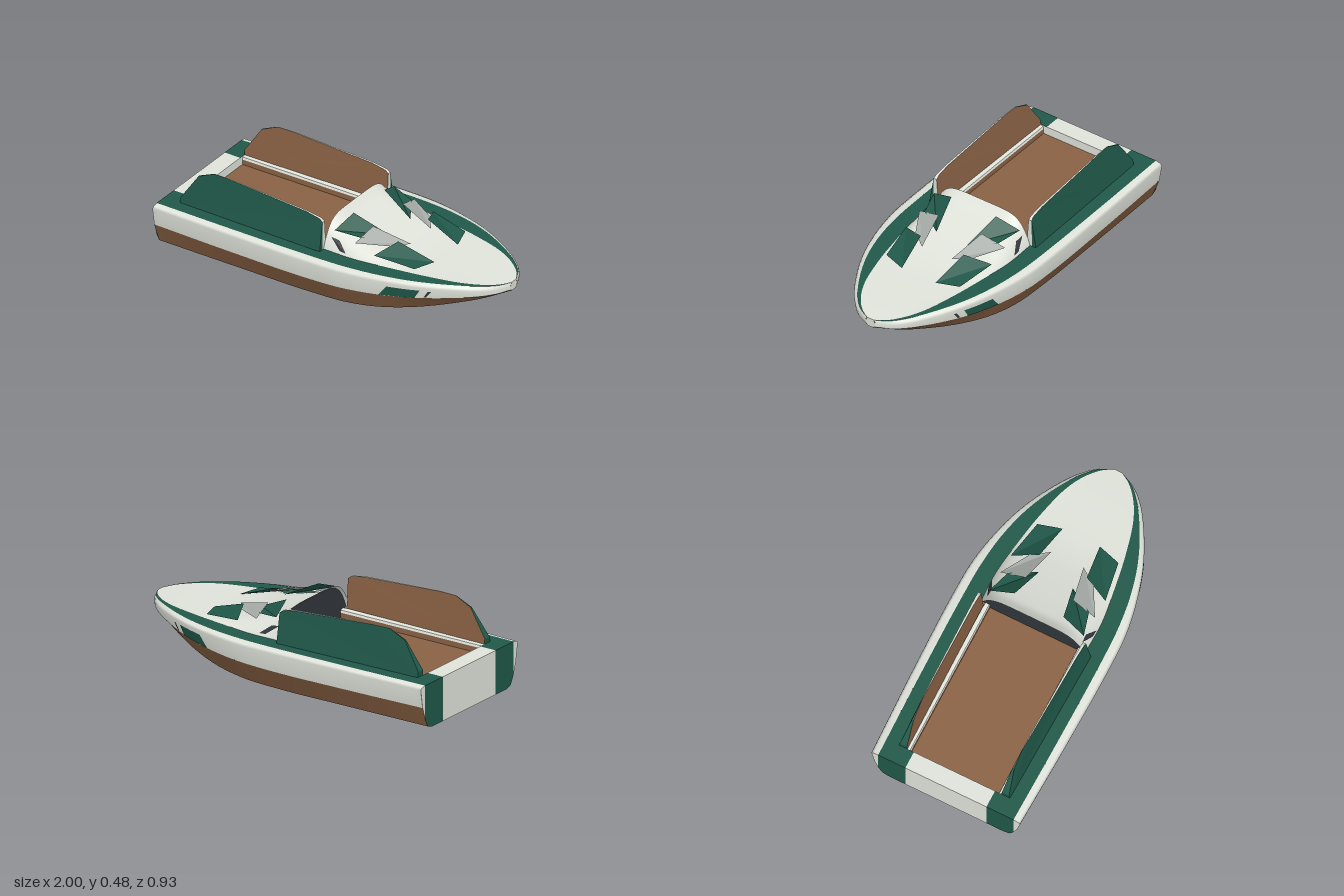
import * as THREE from 'three';

const material = (name, color) => {
  const m = new THREE.MeshStandardMaterial({ color, side: THREE.DoubleSide });
  m.name = name;
  return m;
};

// Smooth curve through [x, value] pairs
const curve = (...pairs) => {
  const c = new THREE.CubicInterpolant(pairs.map(p => p[0]), pairs.map(p => p[1]), 1, new Float32Array(1));
  return x => c.evaluate(x)[0];
};

// Hull lines: half widths and heights along the length (bow at +x)
const beam = curve([-1, .44], [-.5, .456], [0, .463], [.2, .455], [.4, .418], [.6, .354], [.8, .25], [.9, .178], [.97, .098], [1, .03]);
const chine = curve([-1, .375], [-.5, .38], [0, .38], [.2, .374], [.4, .342], [.6, .276], [.8, .182], [.9, .12], [1, .015]);
const keel = curve([-1, 0], [-.5, 0], [0, 0], [.2, .01], [.4, .034], [.6, .072], [.8, .123], [1, .18]);
const waterline = curve([-1, .13], [-.5, .13], [0, .132], [.4, .146], [.6, .16], [.8, .176], [1, .19]);
const rim = curve([-1, .235], [0, .237], [.5, .233], [.8, .222], [1, .21]);
const deck = curve([-1, .25], [0, .25], [.5, .251], [.8, .244], [1, .231]);
const bandOuter = curve([-1, .4], [-.5, .408], [0, .41], [.2, .404], [.4, .378], [.6, .322], [.8, .225], [.9, .156], [.97, .082], [1, .022]);
const bandInner = curve([0, .31], [.2, .312], [.4, .285], [.6, .249], [.8, .192], [.9, .136], [.97, .07], [1, .02]);
const cowlTop = curve([0, .165], [.05, .126], [.1, .106], [.2, .074], [.3, .045], [.4, .021], [.5, .006], [.6, 0], [1, 0]);
const waterWidth = x => beam(x) * .96;

export function createModel() {
  const model = new THREE.Group();
  model.name = 'speedboat';
  const white = material('white', 0xdfe3da);
  const green = material('green', 0x205849);
  const brown = material('brown', 0x8a6244);
  const grey = material('grey', 0xa9aeaa);
  const dark = material('charcoal', 0x30353a);

  const add = (name, geometry, mat) => {
    const mesh = new THREE.Mesh(geometry, mat);
    mesh.name = name;
    model.add(mesh);
  };

  // Skin over a row of cross-sections; section(x) returns a list of [x, y, z]
  const loft = (name, mat, x0, x1, steps, section) => {
    const pos = [], index = [];
    let n = 0;
    for (let i = 0; i <= steps; i++) {
      const row = section(x0 + (x1 - x0) * i / steps);
      n = row.length;
      row.forEach(p => pos.push(...p));
    }
    for (let i = 0; i < steps; i++) for (let j = 0; j < n - 1; j++) {
      const a = i * n + j, b = a + n;
      index.push(a, b, a + 1, b, b + 1, a + 1);
    }
    const g = new THREE.BufferGeometry();
    g.setAttribute('position', new THREE.Float32BufferAttribute(pos, 3));
    g.setIndex(index);
    g.computeVertexNormals();
    add(name, g, mat);
  };

  // Flat convex face from its corners
  const face = (name, mat, pts) => {
    const pos = [];
    for (let i = 1; i < pts.length - 1; i++) pos.push(...pts[0], ...pts[i], ...pts[i + 1]);
    const g = new THREE.BufferGeometry();
    g.setAttribute('position', new THREE.Float32BufferAttribute(pos, 3));
    g.computeVertexNormals();
    add(name, g, mat);
  };

  // Hull bottom
  loft('hullBottom', brown, -1, 1, 48, x => [-.9, 0, .9].map(t => [x, keel(x), t * chine(x)]));

  // Foredeck swelling into the cowl
  loft('foredeck', white, 0, 1, 60, x => {
    const row = [];
    for (let j = 0; j <= 40; j++) {
      const t = Math.sin((j / 20 - 1) * Math.PI / 2);
      row.push([x, deck(x) + cowlTop(x) * (1 - t ** 6), t * bandInner(x)]);
    }
    return row;
  });

  // Stern deck, cockpit floor and its rear wall
  face('sternDeck', white, [[-1, .25, -.24], [-1, .25, .24], [-.9, .25, .24], [-.9, .25, -.24]]);
  face('cockpitFloor', brown, [[-.9, .2, -.26], [-.9, .2, .26], [.02, .2, .26], [.02, .2, -.26]]);
  face('cockpitRearWall', white, [[-.9, .2, -.26], [-.9, .2, .26], [-.9, .25, .285], [-.9, .25, -.285]]);

  // Dark recess under the cowl
  const arch = [[.02, .2, -.26], [.02, .2, .26]];
  for (let j = 0; j <= 20; j++) {
    const t = Math.cos(j / 20 * Math.PI);
    arch.push([.02, .25 + cowlTop(.02) * (1 - t ** 6), t * .31]);
  }
  face('dashRecess', dark, arch);

  // Transom centre and stem
  face('transomCentre', white, [[-1, 0, -.24], [-1, 0, .24], [-1, .25, .24], [-1, .25, -.24]]);
  face('stem', white, [[1, .18, -.014], [1, .18, .014], [1, .19, .029], [1, .21, .03], [1, .231, .022],
    [1, .231, -.022], [1, .21, -.03], [1, .19, -.029]]);

  for (const s of [1, -1]) {
    const side = s > 0 ? 'left' : 'right';
    const m = pts => pts.map(([x, y, z]) => [x, y, z * s]);
    const strip = (name, mat, x0, x1, steps, section) => loft(side + name, mat, x0, x1, steps, x => m(section(x)));
    const plate = (name, mat, pts) => face(side + name, mat, m(pts));

    // Hull sides and rounded rim
    const chinePoint = x => [x, keel(x) + .012 * (1 - Math.max(x, 0)), chine(x)];
    strip('Chine', brown, -1, 1, 48, x => [[x, keel(x), chine(x) * .9], chinePoint(x)]);
    strip('LowerHull', brown, -1, 1, 48, x => [chinePoint(x), [x, waterline(x), waterWidth(x)]]);
    strip('Topside', white, -1, 1, 60, x => {
      const b = beam(x), o = bandOuter(x), r = rim(x), d = deck(x);
      return [[x, waterline(x), waterWidth(x)], [x, r, b], [x, r + (d - r) * .6, b + (o - b) * .3], [x, d, o]];
    });

    // Green deck band
    strip('SternBand', green, -1, -.9, 2, x => [[x, deck(x), bandOuter(x)], [x, deck(x), .24]]);
    strip('SideBand', green, -.9, 0, 12, x => [[x, deck(x), bandOuter(x)], [x, deck(x), .285]]);
    strip('BowBand', green, 0, 1, 60, x => [[x, deck(x), bandOuter(x)], [x, deck(x), bandInner(x)]]);

    // Cockpit ledge and wall
    strip('CockpitLedge', white, -.9, .02, 1, x => [[x, .25, .285], [x, .243, .264]]);
    strip('CockpitCoaming', white, -.9, .02, 1, x => [[x, .243, .264], [x, .23, .26]]);
    strip('CockpitWall', brown, -.9, .02, 1, x => [[x, .23, .26], [x, .2, .26]]);

    // Transom corners
    plate('TransomBand', green, [[-1, 0, .24], [-1, 0, .3375], [-1, .012, .375], [-1, .06, .4], [-1, .25, .4], [-1, .25, .24]]);
    plate('TransomEdge', white, [[-1, .25, .4], [-1, .06, .4], [-1, .13, .422], [-1, .235, .44], [-1, .244, .428]]);

    // Tall side screen: green outside, brown inside, pale front and top edge
    const outline = [[-.9, .25], [-.9, .28], [-.8, .43], [-.7, .475], [-.6, .475], [-.1, .445], [-.02, .43], [0, .415], [0, .25]];
    const outer = ([x, y]) => [x, y, .348 - (y - .25) * .17 - Math.max(0, -.5 - x) * .05];
    const inner = ([x, y]) => [x, y, .288 + (y - .25) * .075 - Math.max(0, -.1 - x) * .012];
    plate('ScreenOutside', green, outline.map(outer));
    plate('ScreenInside', brown, outline.map(inner));
    for (let i = 0; i < outline.length - 2; i++) {
      const a = outline[i], b = outline[i + 1];
      plate('ScreenEdge', i < 3 ? green : white, [outer(a), outer(b), inner(b), inner(a)]);
    }
    plate('ScreenFrontEdge', white, [inner([0, .25]), inner([0, .415]), outer([0, .415]), [0, .25, .322]]);
    plate('ScreenFrontCorner', green, [[0, .25, .322], outer([0, .415]), outer([0, .25])]);

    // Jagged fins along the cowl
    plate('RearFin', green, [[.05, .365, .28], [.08, .417, .145], [.275, .324, .1], [.19, .345, .24]]);
    plate('MiddleFin', grey, [[.18, .328, .28], [.2, .372, .14], [.41, .31, .095], [.34, .318, .19]]);
    plate('FrontFin', green, [[.3, .292, .28], [.36, .33, .14], [.57, .258, .11], [.53, .264, .24]]);

    // Painted marks on the cowl flank and topside
    const flank = (x, y) => [x, y, bandInner(x) * (1 - (y - .25) / cowlTop(x)) ** (1 / 6) + .005];
    plate('CowlMark', dark, [flank(.03, .32), flank(.08, .312), flank(.14, .265), flank(.1, .268)]);
    const topside = (x, y) => {
      const f = (y - waterline(x)) / (rim(x) - waterline(x));
      return [x, y, waterWidth(x) + (beam(x) - waterWidth(x)) * f + .004];
    };
    strip('TopsideMark', green, 0, 1, 10, u => [topside(.41 + .19 * u, .15 + .012 * u), topside(.46 + .17 * u, .214)]);
    strip('TopsideStroke', dark, 0, 1, 2, u => [topside(.645 + .012 * u, .17), topside(.67 + .015 * u, .21)]);
  }
  return model;
}
